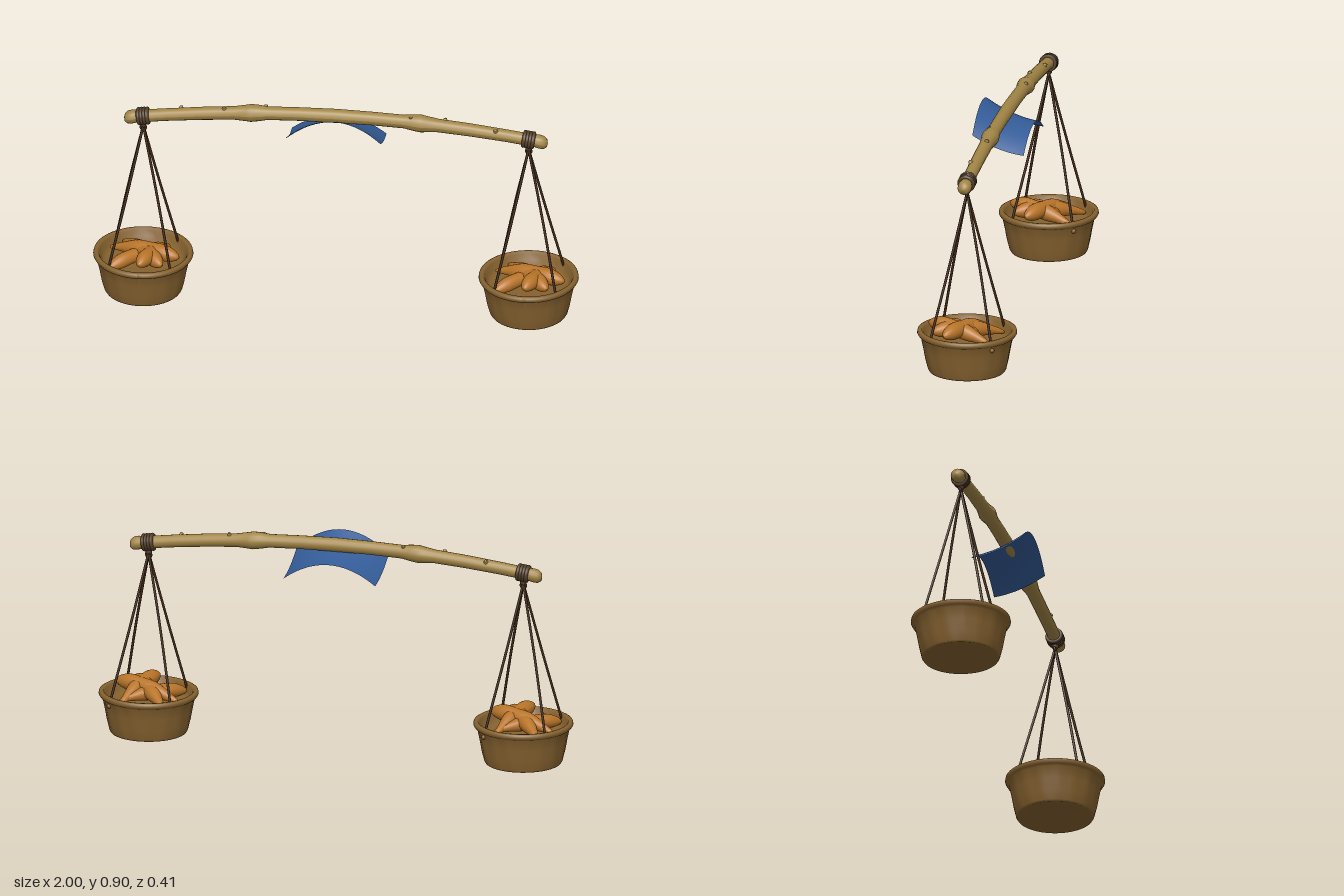
import * as THREE from 'three';

const V = (x, y, z) => new THREE.Vector3(x, y, z);
const UP = V(0, 1, 0);
const material = (color, side = THREE.FrontSide) =>
  new THREE.MeshStandardMaterial({ color, side });

const wood = material(0xa28545);
const wicker = material(0x86622f);
const cord = material(0x3f2816);
const lashingMat = material(0x55402a);
const rootMat = material(0xb87428);
const clothMat = material(0x345c98, THREE.DoubleSide);

function add(parent, name, geometry, mat, x = 0, y = 0, z = 0) {
  const mesh = new THREE.Mesh(geometry, mat);
  mesh.name = name;
  mesh.position.set(x, y, z);
  parent.add(mesh);
  return mesh;
}

// Moves every vertex by a rule and refreshes the normals
function deform(geometry, rule) {
  const p = geometry.attributes.position;
  const v = new THREE.Vector3();
  for (let i = 0; i < p.count; i++) {
    rule(v.fromBufferAttribute(p, i));
    p.setXYZ(i, v.x, v.y, v.z);
  }
  geometry.computeVertexNormals();
  return geometry;
}

const lathe = (points, segments) =>
  new THREE.LatheGeometry(points.map(([r, y]) => new THREE.Vector2(r, y)), segments);

// Height of the bowed pole's centre line
const poleY = (x) => 0.866 - 0.088 * x * x;

function poleGeometry() {
  const half = [
    [0.029, 0], [0.028, 0.15], [0.028, 0.28], [0.034, 0.32], [0.037, 0.35], [0.034, 0.37],
    [0.028, 0.42], [0.027, 0.55], [0.026, 0.7], [0.026, 0.82], [0.029, 0.84],
    [0.027, 0.858], [0.018, 0.87], [0, 0.874],
  ];
  const mirrored = half.slice(1).reverse().map(([r, x]) => [r, -x]);
  const g = lathe([...mirrored, ...half], 16);
  g.rotateZ(-Math.PI / 2);
  return deform(g, (v) => { v.y += poleY(v.x); });
}

// Sloping cloth draped in an arch along the pole
function clothGeometry() {
  const g = new THREE.PlaneGeometry(0.39, 0.215, 24, 12).rotateX(-Math.PI / 2);
  return deform(g, (v) => {
    const drop = 0.082 + 0.07 * v.z;
    v.y = 0.84 + 0.41 * v.z + 1.24 * v.z * v.z - drop * (v.x / 0.195) ** 2;
  });
}

// Round basket with a rolled rim, gently rippled wall and shallow dished inside
function basketGeometry() {
  const g = lathe([
    [0, 0.006], [0.148, 0.004], [0.156, 0.002], [0.161, 0.01], [0.17, 0.05], [0.179, 0.1],
    [0.189, 0.148], [0.199, 0.154], [0.205, 0.164], [0.203, 0.174], [0.196, 0.178],
    [0.186, 0.177], [0.18, 0.168], [0.173, 0.145], [0.16, 0.125], [0.12, 0.118], [0, 0.115],
  ], 64);
  return deform(g, (v) => {
    const r = Math.hypot(v.x, v.z);
    if (r < 0.165 || v.y > 0.15) return;
    const a = Math.atan2(v.z, v.x);
    const s = 1 + 0.008 * Math.sin(16 * a) + 0.004 * Math.sin(7 * a);
    v.x *= s;
    v.z *= s;
  });
}

// Tapered, slightly arched root; the thick end is at a
function rootGeometry(a, b, radius) {
  const dir = b.clone().sub(a);
  const half = dir.length() / 2;
  const turn = new THREE.Quaternion().setFromUnitVectors(UP, dir.normalize());
  const mid = a.clone().add(b).multiplyScalar(0.5);
  return deform(new THREE.SphereGeometry(1, 18, 18), (v) => {
    const t = v.y;
    const width = radius * (1 - 0.3 * t + 0.08 * Math.sin(7 * t));
    v.set(v.x * width, t * half, v.z * width).applyQuaternion(turn).add(mid);
    v.y += 0.016 * (1 - t * t);
  });
}

function ropeGeometry(a, b) {
  const side = V(b.z, 0, -b.x).multiplyScalar(0.02);
  const curve = new THREE.CatmullRomCurve3([a, a.clone().lerp(b, 0.5).add(side), b]);
  return new THREE.TubeGeometry(curve, 12, 0.0055, 8);
}

// Basket with its contents, ropes and lashing, centred on the local y axis
function hangingBasket(x) {
  const group = new THREE.Group();
  group.name = x > 0 ? 'leftHangingBasket' : 'rightHangingBasket';
  group.position.x = x;
  add(group, 'basket', basketGeometry(), wicker);

  // Pile of roots
  const roots = [
    [V(0, 0.198, 0.16), V(0.09, 0.14, -0.12), 0.033],
    [V(-0.13, 0.15, 0.115), V(0.1, 0.15, -0.1), 0.03],
    [V(0.155, 0.19, 0.065), V(-0.145, 0.15, -0.06), 0.034],
    [V(0.09, 0.185, 0.13), V(-0.1, 0.14, -0.135), 0.034],
  ];
  for (const [a, b, r] of roots) add(group, 'root', rootGeometry(a, b, r), rootMat);

  // Four ropes from the lashing to the inside of the rim
  for (const sx of [-1, 1]) {
    for (const sz of [-1, 1]) {
      add(group, 'rope', ropeGeometry(V(0, 0.765, 0), V(sx * 0.128, 0.155, sz * 0.128)), cord);
    }
  }
  add(group, 'ropeKnot', new THREE.SphereGeometry(0.01, 12, 10), wicker, 0.132, 0.135, -0.132);

  // Lashing wound around the pole
  const lashing = new THREE.Group();
  lashing.name = 'lashing';
  lashing.position.y = poleY(x);
  lashing.rotation.z = Math.atan(-0.176 * x);
  group.add(lashing);
  for (const dx of [-0.018, -0.006, 0.006, 0.018]) {
    add(lashing, 'lashingTurn', new THREE.TorusGeometry(0.029, 0.0085, 8, 24), lashingMat, dx)
      .rotation.y = Math.PI / 2;
  }
  add(group, 'hangingKnot', new THREE.SphereGeometry(0.014, 14, 10), lashingMat, 0, 0.772, 0);
  add(group, 'hangingLoop', new THREE.TorusGeometry(0.011, 0.005, 8, 18), cord, 0, 0.757, 0);
  return group;
}

export function createModel() {
  const model = new THREE.Group();
  model.name = 'carryingPole';
  add(model, 'pole', poleGeometry(), wood);

  // Small cut twig stubs
  for (const [x, angle] of [[-0.46, 0.3], [-0.29, -0.5], [0.31, 0.4], [0.45, -0.3], [0.66, 0.6], [-0.64, -0.7]]) {
    const stub = add(model, 'twigStub', new THREE.CylinderGeometry(0.006, 0.011, 0.014, 10), wood,
      x, poleY(x) + 0.028 * Math.cos(angle), 0.028 * Math.sin(angle));
    stub.rotation.x = angle;
  }

  add(model, 'shoulderCloth', clothGeometry(), clothMat);
  for (const side of [-1, 1]) model.add(hangingBasket(side * 0.795));
  return model;
}
